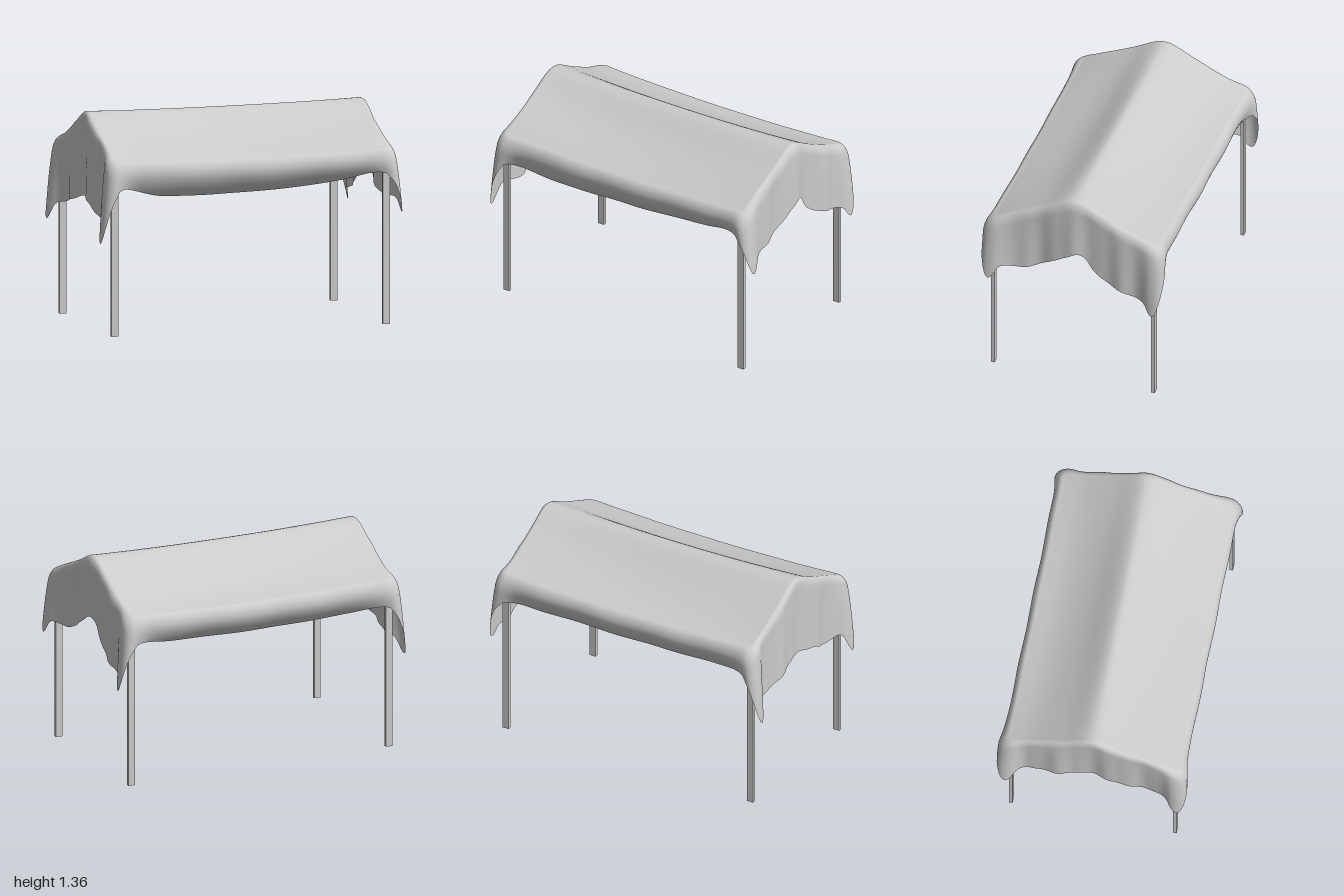
import * as THREE from 'three';
import { mergeVertices } from 'three/addons/utils/BufferGeometryUtils.js';

const HX = 0.9, HZ = 0.53, RC = 0.04; // half sizes of the roof and its corner radius

// Smooth interpolation through [position, value] pairs
function spline(pts, t) {
  const n = pts.length;
  if (t <= pts[0][0]) return pts[0][1];
  if (t >= pts[n - 1][0]) return pts[n - 1][1];
  let i = 0;
  while (t > pts[i + 1][0]) i++;
  const slope = k => {
    const a = pts[Math.max(k - 1, 0)], b = pts[Math.min(k + 1, n - 1)];
    return (b[1] - a[1]) / (b[0] - a[0]);
  };
  const h = pts[i + 1][0] - pts[i][0], s = (t - pts[i][0]) / h, s2 = s * s, s3 = s2 * s;
  return (2 * s3 - 3 * s2 + 1) * pts[i][1] + (s3 - 2 * s2 + s) * h * slope(i) +
    (3 * s2 - 2 * s3) * pts[i + 1][1] + (s3 - s2) * h * slope(i + 1);
}

// Roof section along z, and hem heights of the four hanging sides
const ROOF = [[-0.55, 1.12], [-0.4, 1.172], [-0.2, 1.267], [-0.06, 1.342], [0, 1.355],
  [0.06, 1.342], [0.2, 1.27], [0.4, 1.182], [0.48, 1.145], [0.55, 1.11]];
const HEM = {
  front: [[-0.9, 0.96], [-0.8, 0.93], [-0.6, 0.875], [-0.4, 0.866], [-0.2, 0.865],
    [0.3, 0.885], [0.6, 0.92], [0.8, 0.965], [0.9, 0.98]],
  back: [[-0.9, 0.96], [-0.6, 0.91], [0, 0.89], [0.6, 0.91], [0.9, 0.96]],
  left: [[-0.53, 0.73], [-0.45, 0.72], [-0.25, 0.78], [-0.13, 0.86], [-0.08, 0.94], [-0.03, 0.97],
    [0.05, 0.93], [0.12, 0.89], [0.3, 0.8], [0.5, 0.8]],
  right: [[-0.53, 0.74], [-0.45, 0.72], [-0.2, 0.77], [0, 0.82], [0.15, 0.79], [0.33, 0.72], [0.5, 0.745]],
};

function roofY(x, z) {
  const mid = 1 - Math.min(1, (x / HX) ** 2), e = Math.min(1, Math.abs(z) / HZ);
  return spline(ROOF, z) - mid * (0.01 + 0.03 * Math.sin(Math.PI * e) + 0.015 * e * e) + 0.003 * x;
}

// Rounded rectangle seen from above: points with outward normals
function perimeter() {
  const out = [], arc = 10;
  const sx = [1, -1, -1, 1], sz = [-1, -1, 1, 1];
  for (let k = 0; k < 4; k++) {
    const cx = sx[k] * (HX - RC), cz = sz[k] * (HZ - RC);
    let p;
    for (let i = 0; i <= arc; i++) {
      const a = (k + i / arc) * Math.PI / 2, nx = Math.cos(a), nz = -Math.sin(a);
      p = { x: cx + RC * nx, z: cz + RC * nz, nx, nz };
      out.push(p);
    }
    const eave = k % 2 === 0, n = eave ? 96 : 64, m = (k + 1) % 4;
    const ex = eave ? sx[m] * (HX - RC) : p.x, ez = eave ? p.z : sz[m] * (HZ - RC);
    for (let i = 1; i < n; i++) {
      out.push({ x: p.x + (ex - p.x) * i / n, z: p.z + (ez - p.z) * i / n, nx: p.nx, nz: p.nz });
    }
  }
  return out;
}

// Hanging part of the cloth at fraction t from roof edge to hem
function skirtPoint({ x, z, nx, nz }, t) {
  const sx = Math.sign(x) || 1, sz = Math.sign(z) || 1;
  const dx2 = (Math.abs(x) - HX) ** 2, dz2 = (Math.abs(z) - HZ) ** 2;
  const tongue = Math.exp(-dx2 / 0.0012 - dz2 / 0.0014);
  const corner = Math.exp(-(dx2 + dz2) / 0.005), eave = nz * nz;
  const drop = sx > 0 ? 0.19 : sz > 0 ? 0.28 : 0.25;
  const hem = eave * spline(sz > 0 ? HEM.front : HEM.back, x) +
    (1 - eave) * spline(sx > 0 ? HEM.left : HEM.right, z) - drop * tongue;
  const top = roofY(x, z), depth = (top - hem) * t;
  // quarter-round shoulder, then folds, curled-under eaves and flared corners
  const r = (sx > 0 ? 0.036 : 0.028) * (1 - eave) + 0.06 * eave;
  const q = 1 - Math.min(1, depth / (r * 2));
  const wave = (1 - eave) * (0.012 * Math.sin(z * 17 + sx) + 0.004 * Math.sin(z * 41 + 2 * sx)) +
    eave * 0.004 * Math.sin(x * 13);
  const curl = 0.1 * eave * (1 - corner) * (1 - (x / HX) ** 4) * t ** 2.5;
  const out = r * Math.sqrt(1 - q * q) + wave * Math.sqrt(t) - curl;
  const flare = corner * Math.sqrt(t);
  return [x + nx * out + sx * (sx > 0 ? 0.075 : 0.066) * flare, top - depth, z + nz * out + sz * 0.022 * flare];
}

function clothGeometry() {
  const ring = perimeter(), n = ring.length, roofRows = 26, skirtRows = 24;
  const pos = [], index = [];
  for (let j = 0; j <= roofRows + skirtRows; j++) {
    for (const p of ring) {
      if (j <= roofRows) {
        const f = j / roofRows, x = p.x * (0.96 + 0.04 * f), z = p.z * f;
        pos.push(x, roofY(x, z), z);
      } else {
        pos.push(...skirtPoint(p, ((j - roofRows) / skirtRows) ** 1.7));
      }
    }
  }
  for (let j = 0; j < roofRows + skirtRows; j++) {
    for (let i = 0; i < n; i++) {
      const a = j * n + i, c = j * n + (i + 1) % n;
      index.push(a, a + n, c, a + n, c + n, c);
    }
  }
  const g = new THREE.BufferGeometry();
  g.setAttribute('position', new THREE.Float32BufferAttribute(pos, 3));
  g.setIndex(index);
  const merged = mergeVertices(g, 1e-5);
  merged.computeVertexNormals();
  return merged;
}

export function createModel() {
  const group = new THREE.Group();
  const metal = new THREE.MeshStandardMaterial({ color: 0xcccccc });
  const fabric = new THREE.MeshStandardMaterial({ color: 0xcccccc, side: THREE.DoubleSide });

  const canopy = new THREE.Mesh(clothGeometry(), fabric);
  canopy.name = 'canopyCloth';
  group.add(canopy);

  const bar = (name, w, h, d, x, y, z, tilt = 0) => {
    const mesh = new THREE.Mesh(new THREE.BoxGeometry(w, h, d), metal);
    mesh.name = name;
    mesh.position.set(x, y, z);
    mesh.rotation.x = tilt;
    group.add(mesh);
  };

  // Posts and sloping gable rafters
  const postX = 0.893, eaveY = 1.07, ridgeY = 1.305;
  for (const sx of [-1, 1]) {
    for (const sz of [-1, 1]) {
      const z = sz > 0 ? 0.531 + 0.004 * sx : -0.521;
      bar(sz > 0 ? 'frontPost' : 'backPost', 0.044, 1.08, 0.023, sx * postX, 0.54, z);
      const run = 0.525, rise = ridgeY - eaveY;
      bar('rafter', 0.022, 0.022, Math.hypot(run, rise), sx * 0.875, (eaveY + ridgeY) / 2,
        sz * run / 2, sz * Math.atan2(rise, run));
    }
  }

  // Long beams
  bar('ridgeBeam', 1.77, 0.025, 0.025, 0, ridgeY, 0);
  for (const sz of [-1, 1]) bar('eaveBeam', 1.77, 0.03, 0.023, 0, eaveY - 0.01, sz * 0.525);

  return group;
}
